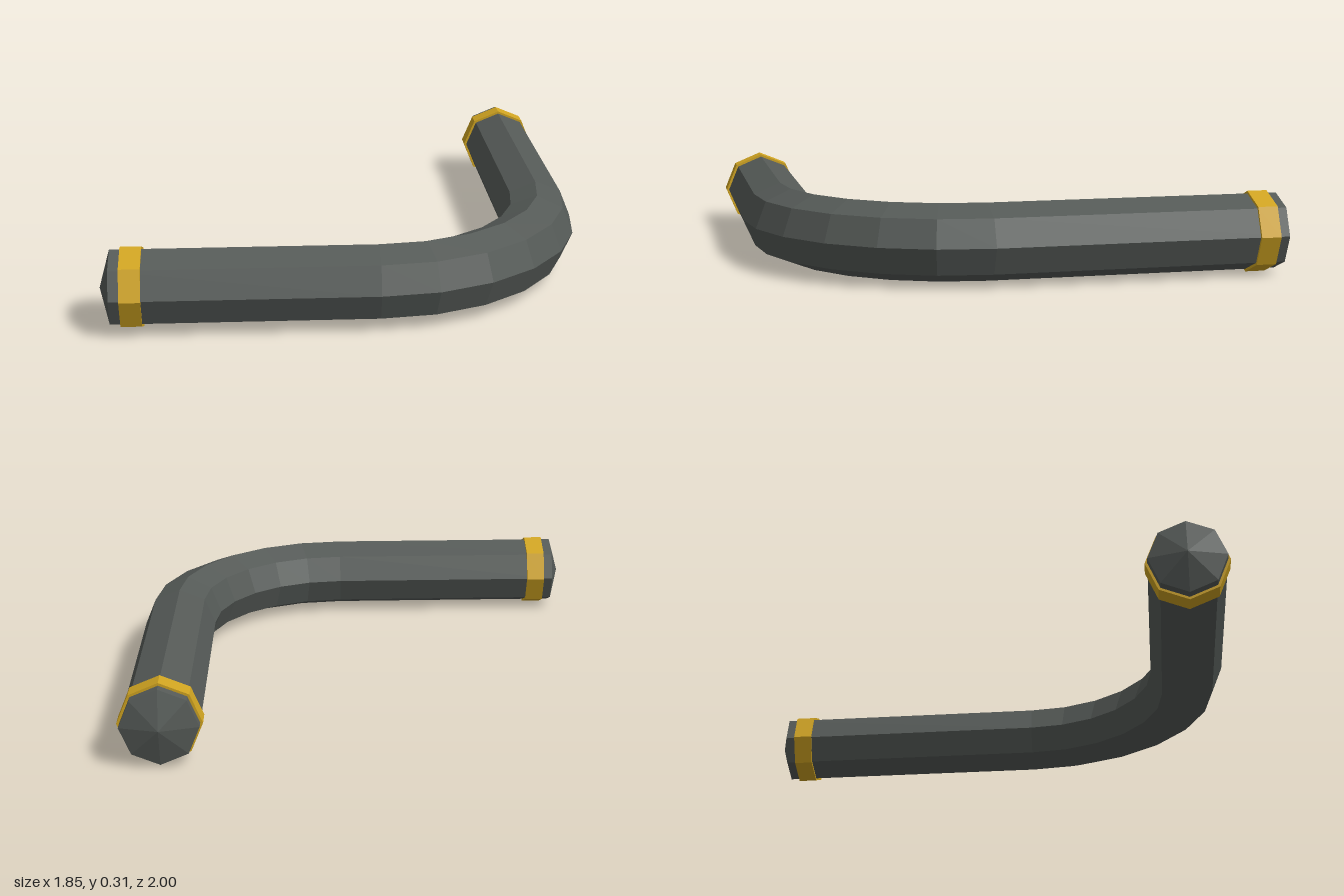
import * as THREE from 'three';

const SIDES = 8;
const Y = 0.155;                         // height of the pipe's centre line
const BEND = { x: 0.085, z: 0.16, r: 0.685 }; // elbow centre and radius
const PIPE_R = 0.145;
const BAND_R = 0.155;

// A station is one octagonal ring: centre (x, z), heading angle t and radius r.
const onLeft = (z, r) => ({ x: BEND.x + BEND.r, z, t: Math.PI / 2, r });
const onFront = (x, r) => ({ x, z: BEND.z + BEND.r, t: 0, r });

// Skin a row of octagonal rings with flat faces.
function sweep(stations) {
  const point = (s, j) => {
    const a = (j % SIDES) * 2 * Math.PI / SIDES;
    const out = s.r * Math.cos(a);
    return [s.x + out * Math.sin(s.t), Y + s.r * Math.sin(a), s.z + out * Math.cos(s.t)];
  };
  const pos = [];
  for (let i = 0; i + 1 < stations.length; i++) {
    const s = stations[i], e = stations[i + 1];
    for (let j = 0; j < SIDES; j++) {
      const a = point(s, j), b = point(s, j + 1), c = point(e, j), d = point(e, j + 1);
      if (s.r > 0) pos.push(...a, ...c, ...b);
      if (e.r > 0) pos.push(...b, ...c, ...d);
    }
  }
  const geo = new THREE.BufferGeometry();
  geo.setAttribute('position', new THREE.Float32BufferAttribute(pos, 3));
  geo.computeVertexNormals();
  return geo;
}

export function createModel() {
  const group = new THREE.Group();
  group.name = 'pipeElbow';

  const darkGrey = new THREE.MeshStandardMaterial({ color: 0x555a57, flatShading: true });
  darkGrey.name = 'darkGrey';
  const gold = new THREE.MeshStandardMaterial({ color: 0xd0a421, flatShading: true });
  gold.name = 'gold';

  const add = (name, stations, material) => {
    const mesh = new THREE.Mesh(sweep(stations), material);
    mesh.name = name;
    group.add(mesh);
  };

  // Pipe: straight leg, six-step quarter bend, straight leg
  const path = [onFront(-0.885, PIPE_R)];
  for (let i = 0; i <= 6; i++) {
    const t = i * Math.PI / 12;
    path.push({ x: BEND.x + BEND.r * Math.sin(t), z: BEND.z + BEND.r * Math.cos(t), t, r: PIPE_R });
  }
  path.push(onLeft(-0.96, PIPE_R));
  add('pipe', path, darkGrey);

  // Shallow pointed end caps
  add('rightEndCap', [onFront(-0.925, 0), onFront(-0.885, PIPE_R)], darkGrey);
  add('backEndCap', [onLeft(-0.96, PIPE_R), onLeft(-1, 0)], darkGrey);

  // Raised bands near both ends
  const band = (at, from, to) => [at(from, PIPE_R), at(from, BAND_R), at(to, BAND_R), at(to, PIPE_R)];
  add('rightBand', band(onFront, -0.847, -0.77), gold);
  add('backBand', band(onLeft, -0.845, -0.922), gold);

  return group;
}
